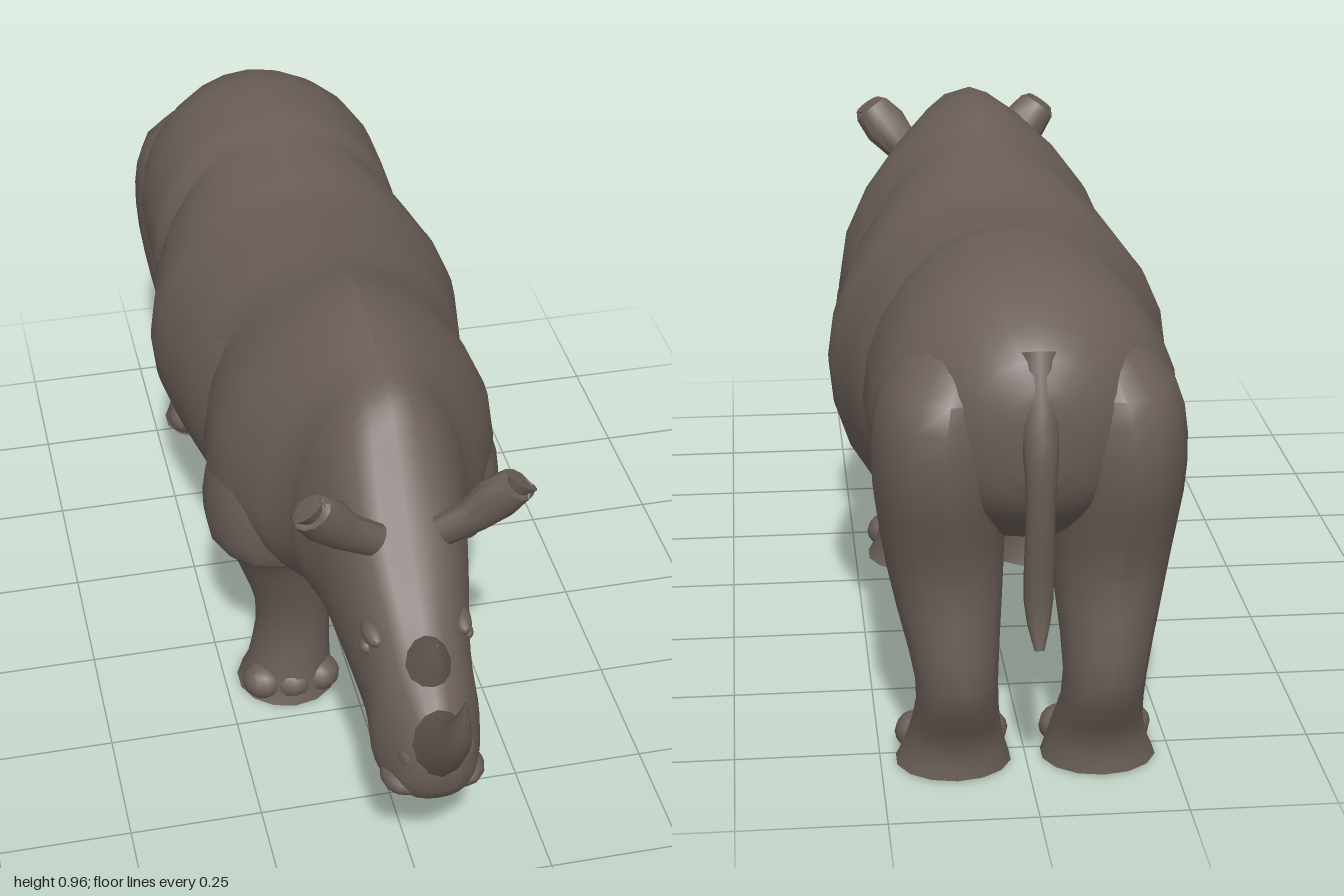
import * as THREE from 'three';
import { toCreasedNormals } from 'three/addons/utils/BufferGeometryUtils.js';

const V = (x, y, z) => new THREE.Vector3(x, y, z);
const bump = (x, centre, width) => Math.exp(-(((x - centre) / width) ** 2));

// Skin stretched over closed rings of points, capped at both ends
function loft(rings) {
  const n = rings[0].length, pos = [], idx = [];
  rings.forEach(r => r.forEach(p => pos.push(p.x, p.y, p.z)));
  for (let k = 0; k < rings.length - 1; k++) {
    for (let i = 0; i < n; i++) {
      const a = k * n + i, b = k * n + (i + 1) % n;
      idx.push(a, b, b + n, a, b + n, a + n);
    }
  }
  for (const k of [0, rings.length - 1]) {
    const c = V(0, 0, 0), m = pos.length / 3;
    rings[k].forEach(p => c.addScaledVector(p, 1 / n));
    pos.push(c.x, c.y, c.z);
    for (let i = 0; i < n; i++) {
      const a = k * n + i, b = k * n + (i + 1) % n;
      if (k) idx.push(m, a, b); else idx.push(m, b, a);
    }
  }
  const g = new THREE.BufferGeometry();
  g.setAttribute('position', new THREE.Float32BufferAttribute(pos, 3));
  g.setIndex(idx);
  return toCreasedNormals(g, 0.6);
}

const ring = (n, f) => Array.from({ length: n }, (_, i) => {
  const a = i / n * Math.PI * 2;
  return f(Math.cos(a), Math.sin(a));
});

// Fill in sections between the given ones along a smooth curve
function refine(rows, steps) {
  const out = [], last = rows.length - 1;
  for (let i = 0; i <= last * steps; i++) {
    const k = Math.min(Math.floor(i / steps), last - 1), t = i / steps - k;
    const [a, b, c, d] = [k - 1, k, k + 1, k + 2].map(j => rows[Math.min(Math.max(j, 0), last)]);
    out.push(b.map((v, j) => v + t / 2 * (c[j] - a[j]
      + t * (2 * a[j] - 5 * v + 4 * c[j] - d[j] + t * (3 * (v - c[j]) + d[j] - a[j])))));
  }
  return out;
}

// Tapering tube through [x, y, z, radius], narrowed front to back by flat
function taper(rows, flat) {
  const pts = rows.map(r => V(r[0], r[1], r[2]));
  return loft(rows.map((r, k) => {
    const t = pts[Math.min(k + 1, rows.length - 1)].clone().sub(pts[Math.max(k - 1, 0)]).normalize();
    const u = V(1, 0, 0).addScaledVector(t, -t.x).normalize();
    const v = t.clone().cross(u);
    return ring(12, (c, s) => pts[k].clone().addScaledVector(u, c * r[3]).addScaledVector(v, s * r[3] * flat));
  }));
}

// Trunk and head sections: z, bottom, top, half width, height of widest point
const BODY = [
  [-0.975, 0.58, 0.72, 0.05, 0.66],
  [-0.93, 0.50, 0.80, 0.14, 0.65],
  [-0.78, 0.41, 0.875, 0.25, 0.62],
  [-0.60, 0.41, 0.89, 0.262, 0.60],
  [-0.515, 0.35, 0.88, 0.262, 0.58],
  [-0.37, 0.262, 0.87, 0.295, 0.57],
  [-0.26, 0.265, 0.868, 0.31, 0.57],
  [0.00, 0.285, 0.912, 0.265, 0.57],
  [0.18, 0.35, 0.958, 0.27, 0.58],
  [0.365, 0.39, 0.925, 0.18, 0.58],
  [0.46, 0.385, 0.89, 0.145, 0.59],
  [0.55, 0.355, 0.785, 0.125, 0.56],
  [0.68, 0.305, 0.635, 0.098, 0.46],
  [0.76, 0.288, 0.565, 0.096, 0.38],
  [0.84, 0.32, 0.50, 0.066, 0.38],
  [0.87, 0.36, 0.45, 0.035, 0.40]
];
const FOLDS = [-0.515, 0, 0.365];

// Leg sections from the ground up: y, centre z, half depth, centre x, half width
const FRONT_LEG = [
  [0.005, 0.125, 0.10, 0.125, 0.10], [0.06, 0.125, 0.086, 0.12, 0.082],
  [0.20, 0.125, 0.078, 0.112, 0.073], [0.395, 0.145, 0.115, 0.143, 0.104],
  [0.425, 0.15, 0.142, 0.165, 0.114], [0.55, 0.155, 0.142, 0.17, 0.108],
  [0.75, 0.17, 0.07, 0.15, 0.06]
];
const HIND_LEG = [
  [0.005, -0.78, 0.09, 0.125, 0.10], [0.07, -0.795, 0.078, 0.122, 0.08],
  [0.19, -0.853, 0.08, 0.125, 0.07], [0.38, -0.785, 0.135, 0.14, 0.10],
  [0.56, -0.80, 0.168, 0.15, 0.112], [0.70, -0.80, 0.145, 0.14, 0.10],
  [0.80, -0.77, 0.06, 0.09, 0.05]
];

export function createModel() {
  const model = new THREE.Group();
  const hide = new THREE.MeshStandardMaterial({ color: 0x6a5e57 });
  hide.name = 'brownGreyHide';
  const add = (name, geometry) => {
    const mesh = new THREE.Mesh(geometry, hide);
    mesh.name = name;
    model.add(mesh);
    return mesh;
  };
  const blob = (name, x, y, z, a, b, c) => {
    const mesh = add(name, new THREE.SphereGeometry(1, 12, 8));
    mesh.position.set(x, y, z);
    mesh.scale.set(a, b, c);
  };

  // Trunk, neck and head in one skin: peaked at the hump, squarer along the head
  add('body', loft(refine(BODY, 4).map(([z, lo, hi, w, mid]) => {
    const top = 1 + 0.6 * bump(z, 0.17, 0.16) - 0.35 * bump(z, 0.62, 0.12);
    const width = w * FOLDS.reduce((f, fold) => f - 0.07 * bump(z, fold, 0.025), 1);
    return ring(24, (c, s) => V(
      width * Math.sign(c) * Math.abs(c) ** (s > 0 ? top : 0.8),
      mid + s * (s > 0 ? hi - mid : mid - lo), z));
  })));

  for (const s of [1, -1]) {
    const side = s > 0 ? 'left' : 'right';

    // Legs with shoulder and thigh, and three toes on each foot
    for (const [name, rows] of [['FrontLeg', FRONT_LEG], ['HindLeg', HIND_LEG]]) {
      add(side + name, loft(refine(rows, 3).map(([y, z, rz, x, rx]) =>
        ring(14, (c, q) => V(s * x + q * rx, y, z + c * rz)))));
      const [, z, rz, x, rx] = rows[0];
      for (const k of [-1, 0, 1]) {
        blob(side + name + 'Toe', s * x + k * rx * 0.56, 0.038, z + rz * (k ? 0.45 : 0.55), 0.042, 0.036, 0.042);
      }
    }

    // Broad cupped ear growing from the crown
    add(side + 'Ear', taper([
      [s * 0.06, 0.715, 0.60, 0.034], [s * 0.115, 0.75, 0.61, 0.038],
      [s * 0.15, 0.79, 0.622, 0.047], [s * 0.178, 0.822, 0.636, 0.04],
      [s * 0.186, 0.832, 0.642, 0.03], [s * 0.165, 0.803, 0.638, 0.012]
    ], 0.75));

    // Brow, eye, nostril and lip
    blob(side + 'Brow', s * 0.078, 0.568, 0.665, 0.02, 0.02, 0.04);
    blob(side + 'Eye', s * 0.09, 0.54, 0.67, 0.012, 0.013, 0.016);
    blob(side + 'Nostril', s * 0.045, 0.42, 0.825, 0.024, 0.028, 0.028);
    blob(side + 'Lip', s * 0.05, 0.352, 0.80, 0.043, 0.028, 0.05);
  }

  // Long front horn and short rear horn
  add('frontHorn', taper(refine([
    [0, 0.43, 0.815, 0.054], [0, 0.53, 0.92, 0.032],
    [0, 0.60, 0.967, 0.018], [0, 0.685, 0.995, 0.001]
  ], 3), 1.2));
  add('rearHorn', taper([
    [0, 0.52, 0.73, 0.05], [0, 0.57, 0.762, 0.036],
    [0, 0.61, 0.79, 0.018], [0, 0.645, 0.812, 0.001]
  ], 1.2));

  // Hanging tail with a tufted tip
  add('tail', taper(refine([
    [0, 0.78, -0.92, 0.036], [0, 0.65, -0.97, 0.03], [0, 0.55, -0.978, 0.024],
    [0, 0.37, -0.955, 0.024], [0, 0.29, -0.975, 0.008]
  ], 3), 0.9));
  return model;
}
